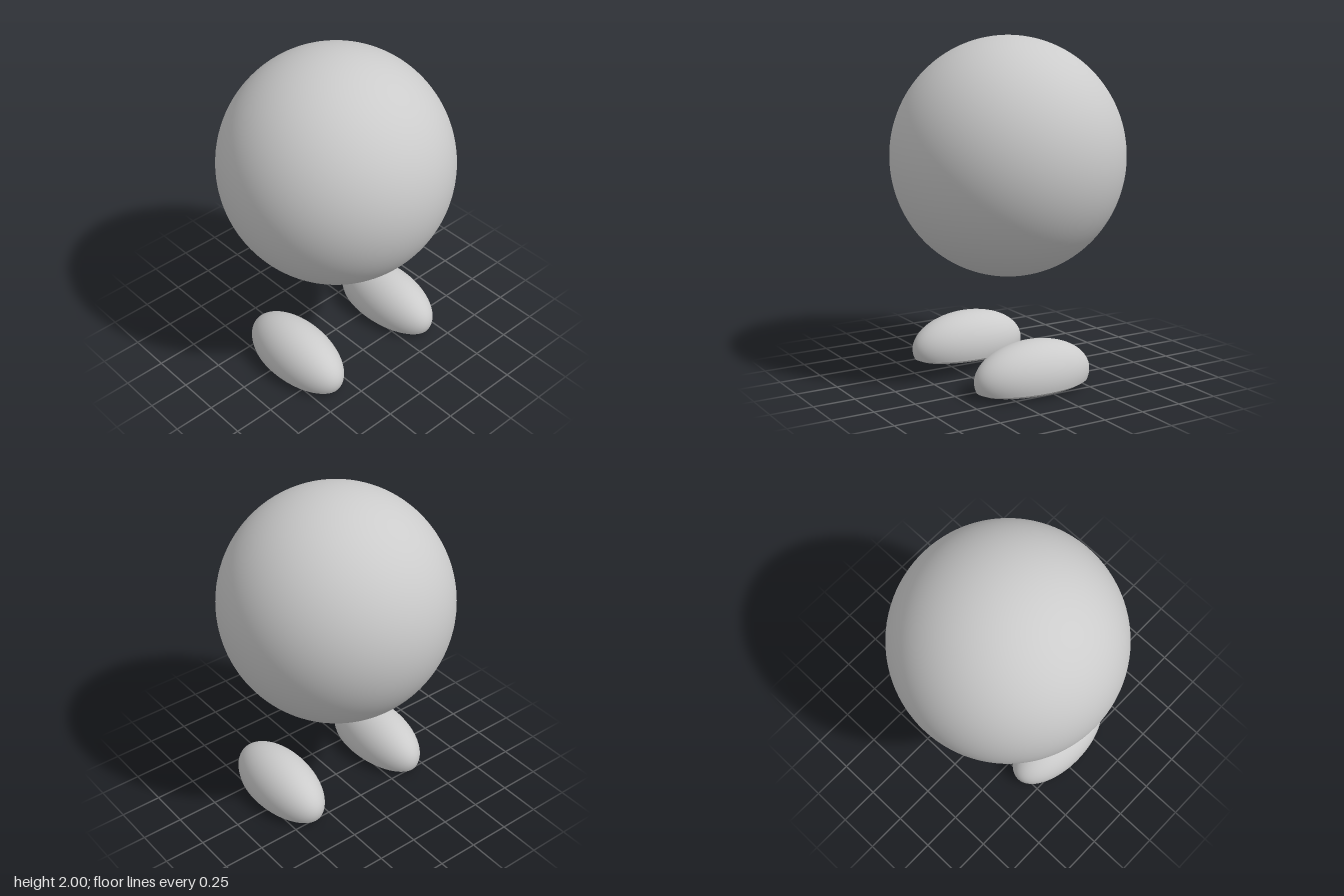
import * as THREE from 'three';

const material = new THREE.MeshStandardMaterial({ color: 0xcccccc });

function part(name, geometry) {
  const mesh = new THREE.Mesh(geometry, material);
  mesh.name = name;
  return mesh;
}

// Elliptical foot: a rounded upper and a gently bulging sole
function createFoot(name, x) {
  const foot = new THREE.Group();
  foot.name = name;
  const upper = [], sole = [];
  const start = -0.27, steps = 24;
  for (let i = 0; i <= steps; i++) {
    const a = start + (Math.PI / 2 - start) * i / steps;
    upper.push(new THREE.Vector2(Math.max(0, Math.cos(a)), 0.09 + 0.207 * Math.sin(a)));
  }
  const rim = upper[0];
  for (let i = 0; i <= 10; i++) {
    const t = i / 10;
    sole.push(new THREE.Vector2(rim.x * t, rim.y * (1 - Math.sqrt(1 - t * t))));
  }
  foot.add(part('footUpper', new THREE.LatheGeometry(upper, 64)));
  foot.add(part('footSole', new THREE.LatheGeometry(sole, 64)));
  foot.scale.set(0.19, 1, 0.37);
  foot.position.set(x, 0, 0.065);
  return foot;
}

export function createModel() {
  const model = new THREE.Group();
  model.name = 'floatingBallFigure';

  // Large floating body, a touch taller than wide
  const body = part('body', new THREE.SphereGeometry(1, 96, 64));
  body.scale.set(0.688, 0.7, 0.688);
  body.position.y = 1.3;
  model.add(body);

  // Pair of feet
  model.add(createFoot('leftFoot', 0.38), createFoot('rightFoot', -0.38));
  return model;
}
